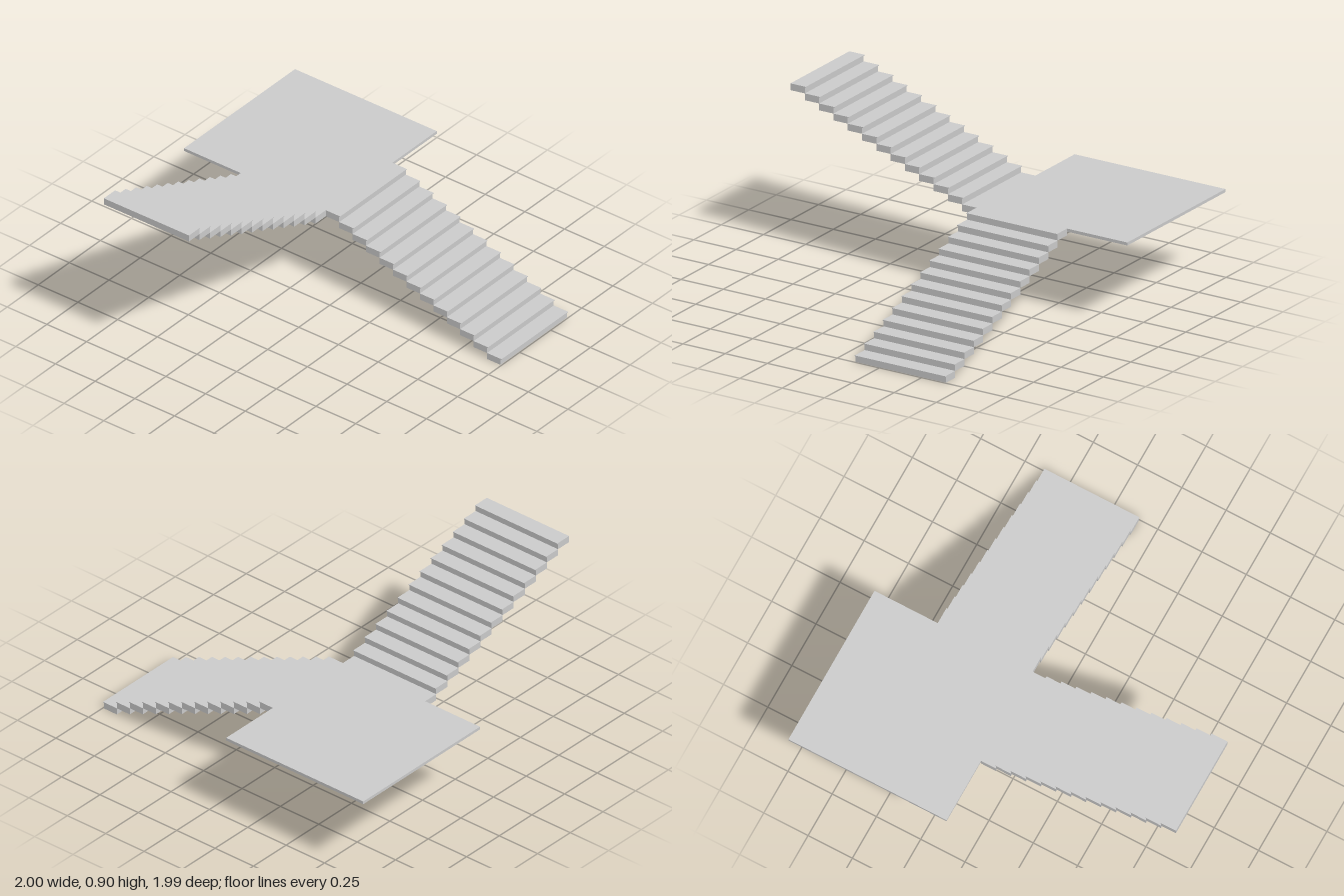
import * as THREE from 'three';

const STEPS = 13, RUN = 0.0847, RISE = 0.036, WIDTH = 0.536;
const NOSE = 0.006, NOSE_H = 0.004;
const LANDING = 0.893, LANDING_H = 0.016, LEVEL = STEPS * RISE;

const material = new THREE.MeshStandardMaterial({ color: 0xcccccc, flatShading: true });

// Box spanning two opposite corners
function slab(name, x0, y0, z0, x1, y1, z1) {
  const mesh = new THREE.Mesh(new THREE.BoxGeometry(x1 - x0, y1 - y0, z1 - z0), material);
  mesh.position.set((x0 + x1) / 2, (y0 + y1) / 2, (z0 + z1) / 2);
  mesh.name = name;
  return mesh;
}

// Flight descending along +x, its first tread top at y = 0
function createFlight(name) {
  const flight = new THREE.Group();
  flight.name = name;
  for (let i = 0; i < STEPS; i++) {
    const x = i * RUN, top = -i * RISE;
    const step = new THREE.Group();
    step.name = 'step' + (i + 1);
    step.add(slab('stepBody', x, top - RISE, -WIDTH / 2, x + RUN, top, WIDTH / 2));
    // thin lip overhanging the riser
    step.add(slab('nosing', x + RUN, top - NOSE_H, -WIDTH / 2, x + RUN + NOSE, top, WIDTH / 2));
    flight.add(step);
  }
  return flight;
}

export function createModel() {
  const model = new THREE.Group();
  model.name = 'cornerStaircase';

  // Square landing between the flights
  const x0 = -1, z0 = -0.997, x1 = x0 + LANDING, z1 = z0 + LANDING;
  model.add(slab('landing', x0, LEVEL - LANDING_H, z0, x1, LEVEL, z1));

  // Lower flight runs down from the landing towards +x
  const lower = createFlight('lowerFlight');
  lower.position.set(x1, LEVEL, z1 - WIDTH / 2);
  model.add(lower);

  // Upper flight climbs from the landing towards +z
  const upper = createFlight('upperFlight');
  upper.rotation.y = Math.PI / 2;
  upper.position.set(x1 - WIDTH / 2, LEVEL + (STEPS - 1) * RISE, z1 + STEPS * RUN);
  model.add(upper);

  return model;
}
